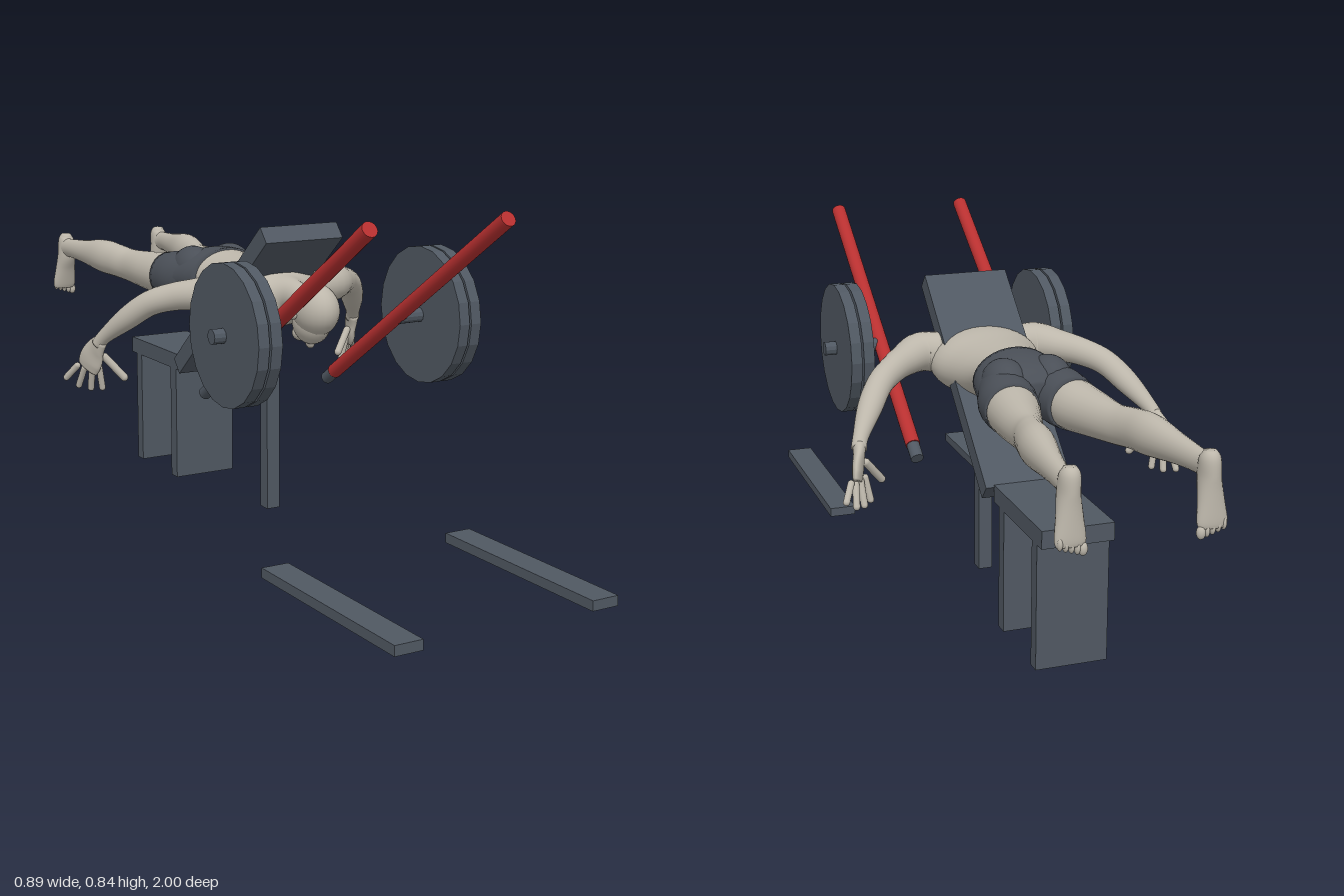
import * as THREE from 'three';

const V = (x, y, z) => new THREE.Vector3(x, y, z);
const make = (name, color) => {
  const m = new THREE.MeshStandardMaterial({ color });
  m.name = name;
  return m;
};

export function createModel() {
  const root = new THREE.Group();
  root.name = 'benchMachineWithFigure';
  const slate = make('slate metal', 0x505862);
  const red = make('red bar', 0xb83030);
  const skin = make('pale clay', 0xbdb7ab);
  const cloth = make('dark shorts', 0x4a4f57);

  const add = (name, geo, mat, parent = root) => {
    const m = new THREE.Mesh(geo, mat);
    m.name = name;
    parent.add(m);
    return m;
  };
  // Box given by its limits on each axis
  const box = (name, x0, x1, y0, y1, z0, z1) =>
    add(name, new THREE.BoxGeometry(x1 - x0, y1 - y0, z1 - z0), slate)
      .position.set((x0 + x1) / 2, (y0 + y1) / 2, (z0 + z1) / 2);
  // Straight cylinder between two points
  const rod = (name, p, q, r, seg, mat, flat) => {
    let geo = new THREE.CylinderGeometry(r, r, p.distanceTo(q), seg);
    if (flat) {
      geo = geo.toNonIndexed();
      geo.computeVertexNormals();
    }
    const m = add(name, geo, mat);
    m.position.copy(p).lerp(q, 0.5);
    m.quaternion.setFromUnitVectors(V(0, 1, 0), q.clone().sub(p).normalize());
  };
  const ball = (name, p, r, mat, parent) => {
    const m = add(name, new THREE.SphereGeometry(1, 24, 16), mat, parent);
    m.position.set(...p);
    m.scale.set(...r);
    return m;
  };
  // Smooth body part through rings [x, y, z, half width, half depth]
  const loft = (name, rings, mat, parent, up = V(0, 1, 0), n = 24) => {
    const path = new THREE.CatmullRomCurve3(rings.map(r => V(r[0], r[1], r[2])), false, 'catmullrom');
    const size = new THREE.CatmullRomCurve3(rings.map(r => V(r[3], r[4], 0)), false, 'catmullrom');
    const steps = (rings.length - 1) * 5, pos = [], idx = [];
    for (let i = -1; i <= steps + 1; i++) {
      const t = Math.min(1, Math.max(0, i / steps));
      const c = path.getPoint(t), s = size.getPoint(t), T = path.getTangent(t);
      const S = T.clone().cross(up).normalize(), B = S.clone().cross(T);
      const k = i < 0 || i > steps ? 0.01 : 1;
      for (let j = 0; j < n; j++) {
        const a = j / n * Math.PI * 2;
        const p = c.clone().addScaledVector(S, Math.cos(a) * s.x * k).addScaledVector(B, Math.sin(a) * s.y * k);
        pos.push(p.x, p.y, p.z);
      }
    }
    for (let i = 0; i < steps + 2; i++) for (let j = 0; j < n; j++) {
      const a = i * n + j, b = i * n + (j + 1) % n;
      idx.push(a, a + n, b, b, a + n, b + n);
    }
    const geo = new THREE.BufferGeometry();
    geo.setAttribute('position', new THREE.Float32BufferAttribute(pos, 3));
    geo.setIndex(idx);
    geo.computeVertexNormals();
    return add(name, geo, mat, parent);
  };

  // Bench: inclined pad, seat, slab legs and front post
  const pad = add('inclinedPad', new THREE.BoxGeometry(0.216, 0.047, 0.627), slate);
  pad.position.set(0, 0.53, -0.092);
  pad.rotation.x = -0.712;
  box('seat', -0.087, 0.087, 0.305, 0.348, -0.655, -0.342);
  box('seatFrontLeg', -0.087, 0.087, 0, 0.305, -0.41, -0.376);
  box('seatRearLeg', -0.087, 0.087, 0, 0.305, -0.626, -0.594);
  box('padPost', -0.018, 0.018, 0, 0.56, -0.03, 0.006);

  // Levers with weights, and floor rails
  for (const s of [-1, 1]) {
    rod('leverBar', V(s * 0.18, 0.345, 0.012), V(s * 0.18, 0.82, 0.722), 0.0187, 20, red);
    rod('leverGrip', V(s * 0.18, 0.32, -0.025), V(s * 0.18, 0.36, 0.035), 0.0165, 16, slate);
    rod('weightAxle', V(s * 0.18, 0.535, 0.302), V(s * 0.333, 0.535, 0.302), 0.018, 12, slate, true);
    for (const x of [0.242, 0.275])
      rod('weightPlate', V(s * x, 0.535, 0.302), V(s * (x + 0.028), 0.535, 0.302), 0.169, 20, slate, true);
    box('floorRail', s * 0.256 - 0.035, s * 0.256 + 0.035, 0, 0.024, 0.46, 1);
  }

  // Figure lying face down
  const figure = new THREE.Group();
  figure.name = 'figure';
  root.add(figure);
  loft('torso', [
    [0, 0.565, 0.17, 0.034, 0.036], [0, 0.573, 0.1, 0.039, 0.042],
    [0, 0.565, 0.06, 0.09, 0.062], [0, 0.56, 0.025, 0.13, 0.078],
    [0, 0.56, -0.03, 0.138, 0.084], [0, 0.562, -0.1, 0.115, 0.08],
    [0, 0.575, -0.19, 0.094, 0.067], [0, 0.573, -0.25, 0.1, 0.073],
    [0, 0.57, -0.32, 0.1, 0.07]], skin, figure, V(0, 1, 0), 36);
  loft('shorts', [
    [0, 0.573, -0.232, 0.103, 0.077], [0, 0.57, -0.3, 0.117, 0.077],
    [0, 0.565, -0.36, 0.122, 0.066], [0, 0.562, -0.395, 0.07, 0.04]], cloth, figure, V(0, 1, 0), 36);

  // Head with face pointing down
  ball('skull', [0, 0.555, 0.212], [0.053, 0.064, 0.072], skin, figure);
  ball('face', [0, 0.522, 0.192], [0.043, 0.055, 0.06], skin, figure);
  ball('chin', [0, 0.487, 0.145], [0.024, 0.02, 0.022], skin, figure);
  ball('nose', [0, 0.47, 0.186], [0.009, 0.015, 0.018], skin, figure);

  for (const s of [-1, 1]) {
    const side = new THREE.Group();
    side.name = s > 0 ? 'leftLimbs' : 'rightLimbs';
    figure.add(side);
    ball('ear', [s * 0.054, 0.545, 0.192], [0.008, 0.013, 0.019], skin, side);
    ball('buttock', [s * 0.055, 0.588, -0.325], [0.055, 0.06, 0.075], cloth, side);
    loft('shortsLeg', [
      [s * 0.06, 0.565, -0.29, 0.05, 0.065], [s * 0.067, 0.56, -0.37, 0.068, 0.069],
      [s * 0.074, 0.557, -0.435, 0.0645, 0.063]], cloth, side);
    loft('leg', [
      [s * 0.07, 0.557, -0.39, 0.056, 0.056], [s * 0.076, 0.557, -0.44, 0.061, 0.06],
      [s * 0.09, 0.558, -0.52, 0.051, 0.053], [s * 0.104, 0.561, -0.61, 0.037, 0.046],
      [s * 0.118, 0.568, -0.67, 0.037, 0.046], [s * 0.13, 0.573, -0.74, 0.039, 0.047],
      [s * 0.143, 0.574, -0.84, 0.028, 0.034], [s * 0.152, 0.574, -0.925, 0.021, 0.027],
      [s * 0.153, 0.572, -0.965, 0.022, 0.029]], skin, side);
    // Foot hanging from the heel to the toes
    loft('foot', [
      [s * 0.152, 0.612, -0.968, 0.013, 0.014], [s * 0.152, 0.595, -0.97, 0.022, 0.026],
      [s * 0.153, 0.555, -0.967, 0.024, 0.031], [s * 0.154, 0.51, -0.976, 0.029, 0.022],
      [s * 0.155, 0.465, -0.984, 0.034, 0.015], [s * 0.155, 0.45, -0.986, 0.03, 0.011]],
    skin, side, V(0, 0, 1));
    for (let i = 0; i < 5; i++)
      ball('toe', [s * (0.129 + i * 0.0125), 0.443 + i * 0.004, -0.988],
        [i ? 0.0065 : 0.01, 0.015, 0.01], skin, side);

    // Arm swept out, back and down
    loft('arm', [
      [s * 0.1, 0.58, 0.02, 0.045, 0.05], [s * 0.155, 0.583, 0.025, 0.05, 0.049],
      [s * 0.205, 0.577, -0.012, 0.041, 0.04], [s * 0.25, 0.568, -0.055, 0.034, 0.035],
      [s * 0.295, 0.548, -0.1, 0.032, 0.032], [s * 0.335, 0.505, -0.15, 0.03, 0.029],
      [s * 0.372, 0.455, -0.203, 0.019, 0.019], [s * 0.382, 0.432, -0.222, 0.019, 0.018]],
    skin, side);
    // Palm spread along the direction of the finger row
    loft('palm', [
      [s * 0.378, 0.443, -0.212, 0.018, 0.016], [s * 0.386, 0.415, -0.235, 0.032, 0.014],
      [s * 0.393, 0.385, -0.25, 0.038, 0.013], [s * 0.397, 0.364, -0.26, 0.034, 0.01]],
    skin, side, V(s * 0.68, 0.5, 0.55));
    // Each finger: base point, then tip
    const fingers = [
      [0.368, 0.4, -0.224, 0.32, 0.34, -0.198],
      [0.374, 0.37, -0.24, 0.362, 0.308, -0.248],
      [0.388, 0.367, -0.252, 0.384, 0.305, -0.272],
      [0.403, 0.366, -0.266, 0.409, 0.311, -0.294],
      [0.416, 0.372, -0.277, 0.438, 0.332, -0.31]];
    fingers.forEach((f, i) => {
      const p = V(s * f[0], f[1], f[2]), q = V(s * f[3], f[4], f[5]);
      const m = add(i ? 'finger' : 'thumb', new THREE.CapsuleGeometry(i ? 0.0085 : 0.01, p.distanceTo(q) - 0.008, 4, 10), skin, side);
      m.position.copy(p).lerp(q, 0.5);
      m.quaternion.setFromUnitVectors(V(0, 1, 0), q.sub(p).normalize());
    });
  }
  return root;
}
